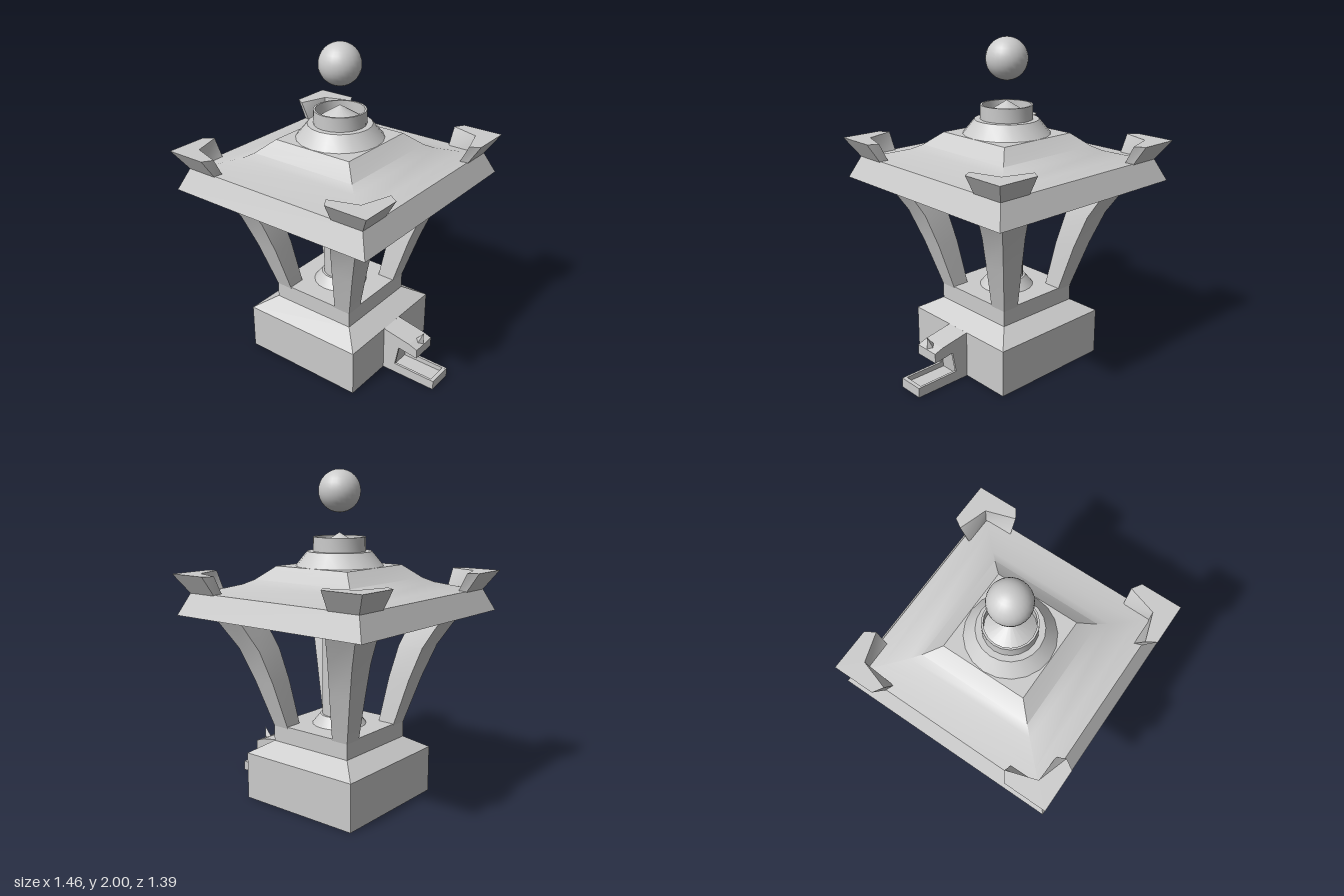
import * as THREE from 'three';
import { toCreasedNormals } from 'three/addons/utils/BufferGeometryUtils.js';

const CX = -0.037; // centre of the tower; the spout sticks out towards +x
const material = new THREE.MeshStandardMaterial({ color: 0xcccccc });
const openMaterial = new THREE.MeshStandardMaterial({ color: 0xcccccc, side: THREE.DoubleSide });

function addMesh(parent, name, geometry, mat = material) {
  const mesh = new THREE.Mesh(geometry, mat);
  mesh.name = name;
  parent.add(mesh);
  return mesh;
}

// Skin stacked rings [y, [[x, z], ...]] and close both ends with fans
function loft(rings) {
  const positions = [];
  const put = (ring, i) => {
    const p = ring[1][i % ring[1].length];
    positions.push(p[0], ring[0], p[1]);
  };
  const n = rings[0][1].length;
  for (let r = 0; r < rings.length - 1; r++) {
    const lo = rings[r], hi = rings[r + 1];
    for (let i = 0; i < n; i++) {
      put(lo, i); put(lo, i + 1); put(hi, i + 1);
      put(lo, i); put(hi, i + 1); put(hi, i);
    }
  }
  const bottom = rings[0], top = rings[rings.length - 1];
  for (let i = 1; i < n - 1; i++) {
    put(bottom, 0); put(bottom, i + 1); put(bottom, i);
    put(top, 0); put(top, i); put(top, i + 1);
  }
  const geometry = new THREE.BufferGeometry();
  geometry.setAttribute('position', new THREE.Float32BufferAttribute(positions, 3));
  return toCreasedNormals(geometry, 0.7);
}

// Square ring between two coordinates on both axes
const square = (a, b) => [[b, b], [b, a], [a, a], [a, b]];
const squareLoft = (profile) => loft(profile.map(([y, h]) => [y, square(-h, h)]));

function lathe(profile, segments = 20) {
  const points = profile.map(([r, y]) => new THREE.Vector2(r, y));
  return toCreasedNormals(new THREE.LatheGeometry(points, segments), 0.5);
}

// Side profile in x/y, extruded along z
function slab(points, z0, z1) {
  const shape = new THREE.Shape(points.map(([x, y]) => new THREE.Vector2(x, y)));
  return new THREE.ExtrudeGeometry(shape, { depth: z1 - z0, bevelEnabled: false }).translate(0, 0, z0);
}

export function createModel() {
  const model = new THREE.Group();
  const tower = new THREE.Group();
  tower.name = 'tower';
  tower.position.x = CX;
  model.add(tower);

  // Stepped base with a collar
  addMesh(tower, 'base', squareLoft([[0, 0.402], [0.29, 0.402], [0.365, 0.283], [0.47, 0.283]]));

  // Flared roof with a swept upper surface
  addMesh(tower, 'roof', squareLoft([
    [1.155, 0.68], [1.29, 0.62], [1.302, 0.52], [1.335, 0.405], [1.362, 0.355], [1.44, 0.265],
  ]));

  // Curved corner legs and roof horns, repeated around the tower
  const legGeometry = loft([
    [0.46, 0.173, 0.283], [0.75, 0.217, 0.362], [0.95, 0.258, 0.427], [1.16, 0.33, 0.537],
  ].map(([y, a, b]) => [y, square(a, b)]));
  const hornRing = (y, inner, across, along, outer, end) => [y, [
    [inner, inner], [along, across], [end, outer], [outer, outer], [outer, end], [across, along],
  ]];
  const hornGeometry = loft([
    hornRing(1.285, 0.573, 0.575, 0.4, 0.622, 0.42),
    hornRing(1.4, 0.578, 0.635, 0.4, 0.694, 0.437),
  ]);
  for (let i = 0; i < 4; i++) {
    addMesh(tower, 'leg', legGeometry).rotation.y = i * Math.PI / 2;
    addMesh(tower, 'roofHorn', hornGeometry).rotation.y = i * Math.PI / 2;
  }

  // Column, its foot, and the socket under the roof
  addMesh(tower, 'column', lathe([[0.104, 0.47], [0.104, 1.13]], 24), openMaterial);
  addMesh(tower, 'columnFoot', lathe([[0.17, 0.465], [0.118, 0.53], [0.1, 0.53]]), openMaterial);
  addMesh(tower, 'lowerSocket', lathe([
    [0.145, 1.11], [0.145, 1.05], [0.157, 1.05], [0.157, 1.105], [0.193, 1.105], [0.268, 1.156],
  ]), openMaterial);
  addMesh(tower, 'lowerSocketFloor', lathe([[0.1, 1.11], [0.15, 1.11]]), openMaterial);

  // Hollow cap with a pointed floor, and the floating ball
  addMesh(tower, 'upperSocket', lathe([
    [0.264, 1.438], [0.193, 1.525], [0.157, 1.525], [0.157, 1.61], [0.145, 1.61], [0.145, 1.545], [0, 1.635],
  ]), openMaterial);
  const ball = addMesh(tower, 'ball', new THREE.SphereGeometry(0.125, 24, 16));
  ball.position.y = 1.875;

  // Spout: hollowed core between two side plates, with a small spike
  const spout = new THREE.Group();
  spout.name = 'spout';
  model.add(spout);
  const outline = [
    [0.34, 0], [0.73, 0], [0.73, 0.06], [0.45, 0.063], [0.475, 0.195],
    [0.605, 0.175], [0.605, 0.235], [0.55, 0.255], [0.364, 0.29], [0.34, 0.29],
  ];
  const core = [
    [0.34, 0], [0.73, 0], [0.73, 0.06], [0.705, 0.06], [0.705, 0.03], [0.43, 0.03], [0.455, 0.225],
    [0.585, 0.205], [0.585, 0.178], [0.605, 0.175], [0.605, 0.235], [0.55, 0.255], [0.364, 0.29], [0.34, 0.29],
  ];
  addMesh(spout, 'spoutCore', slab(core, -0.066, 0.066));
  for (const [z0, z1] of [[-0.081, -0.066], [0.066, 0.081]]) {
    addMesh(spout, 'spoutSide', slab(outline, z0, z1));
  }
  const spike = new THREE.ConeGeometry(0.027, 0.075, 4).toNonIndexed();
  const pos = spike.attributes.position;
  for (let i = 0; i < pos.count; i++) {
    if (pos.getY(i) > 0) pos.setX(i, 0.027); // lean the tip outwards
    else pos.setY(i, pos.getY(i) - pos.getX(i) * 0.4); // follow the slope
  }
  spike.computeVertexNormals();
  addMesh(spout, 'spoutSpike', spike).position.set(0.574, 0.276, 0);

  return model;
}
